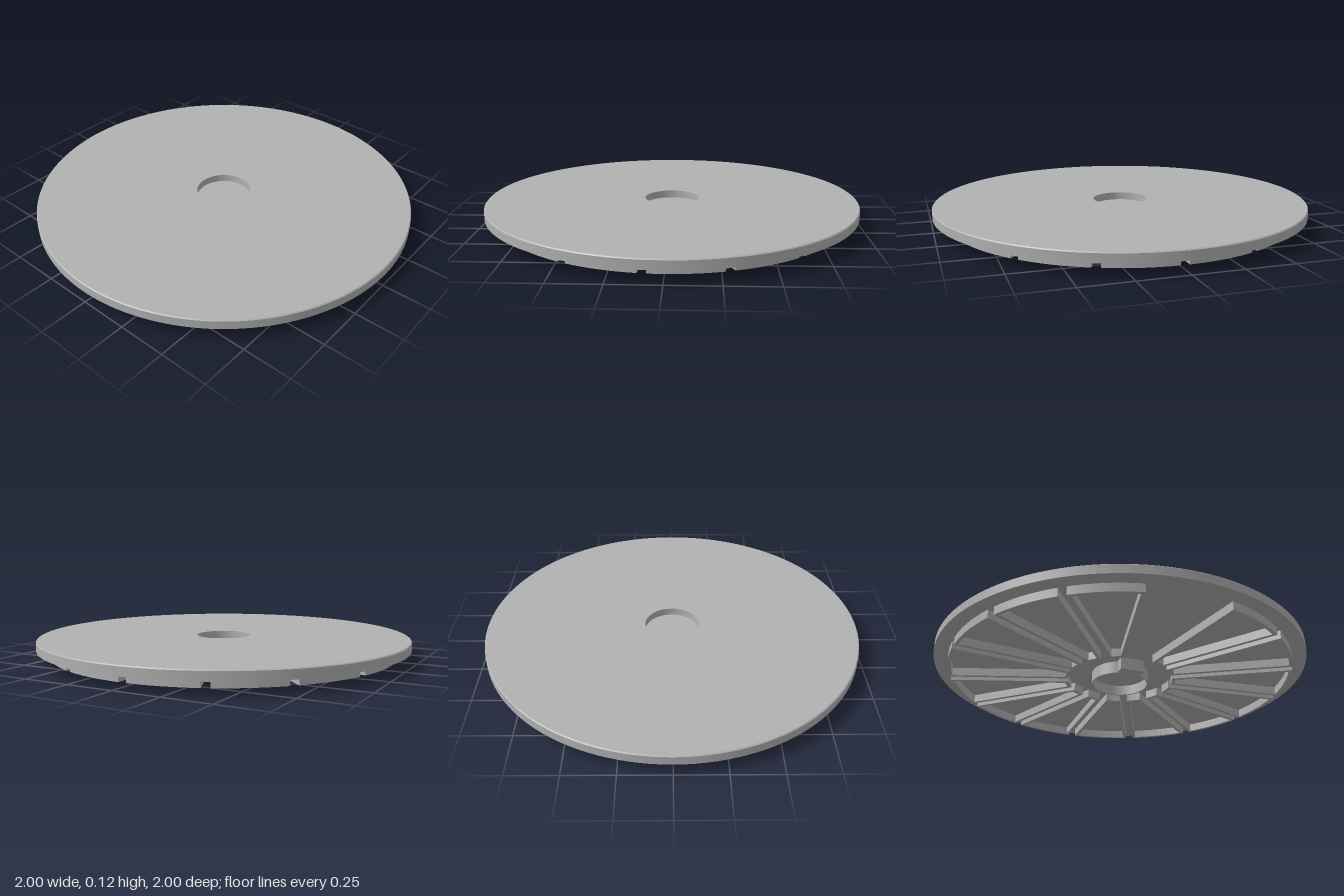
import * as THREE from 'three';
import { toCreasedNormals } from 'three/addons/utils/BufferGeometryUtils.js';

const SECTORS = 15;
const PITCH = (Math.PI * 2) / SECTORS;
const UNDERSIDE = 0.065;

// Sector outline whose straight sides run parallel to the dividing radius
function sectorPath(PathType, inner, outer, offset) {
  const half = (r) => PITCH / 2 - Math.asin(offset / r);
  const mid = Math.PI / 2;
  const path = new PathType();
  path.absarc(0, 0, outer, mid - half(outer), mid + half(outer), false);
  path.absarc(0, 0, inner, mid + half(inner), mid - half(inner), true);
  path.closePath();
  return path;
}

export function createModel() {
  const model = new THREE.Group();
  model.name = 'ribbedDisc';
  const grey = new THREE.MeshStandardMaterial({ color: 0xb2b2b2 });
  grey.name = 'plain grey';

  // Disc with a blind centre recess and a thin hub collar below
  const profile = [
    [0, 0.055], [0.145, 0.055], [0.145, 0], [0.153, 0], [0.153, UNDERSIDE],
    [1, UNDERSIDE], [1, 0.11], [0.995, 0.115], [0.145, 0.115], [0.145, 0.075], [0, 0.075],
  ].map(([r, y]) => new THREE.Vector2(r, y));
  const disc = new THREE.Mesh(toCreasedNormals(new THREE.LatheGeometry(profile, 128), 0.5), grey);
  disc.name = 'discAndHub';
  model.add(disc);

  // Locating tab on the front of the hub collar
  const tab = new THREE.Mesh(new THREE.BoxGeometry(0.13, UNDERSIDE, 0.047), grey);
  tab.name = 'hubTab';
  tab.position.set(0, UNDERSIDE / 2, 0.1715);
  model.add(tab);

  // Hollow sector frames under the disc; the front sector is left open
  const wall = 0.018, gap = 0.021, inner = 0.285, outer = 0.925;
  const shape = sectorPath(THREE.Shape, inner, outer, gap);
  shape.holes.push(sectorPath(THREE.Path, inner + wall, outer - wall, gap + wall));
  const extruded = new THREE.ExtrudeGeometry(shape, { depth: 0.044, bevelEnabled: false, curveSegments: 10 });
  extruded.rotateX(Math.PI / 2).translate(0, UNDERSIDE, 0);
  const frameGeometry = toCreasedNormals(extruded, 0.5);
  for (let i = 1; i < SECTORS; i++) {
    const frame = new THREE.Mesh(frameGeometry, grey);
    frame.name = `sectorFrame${i}`;
    frame.rotation.y = i * PITCH;
    model.add(frame);
  }
  return model;
}
